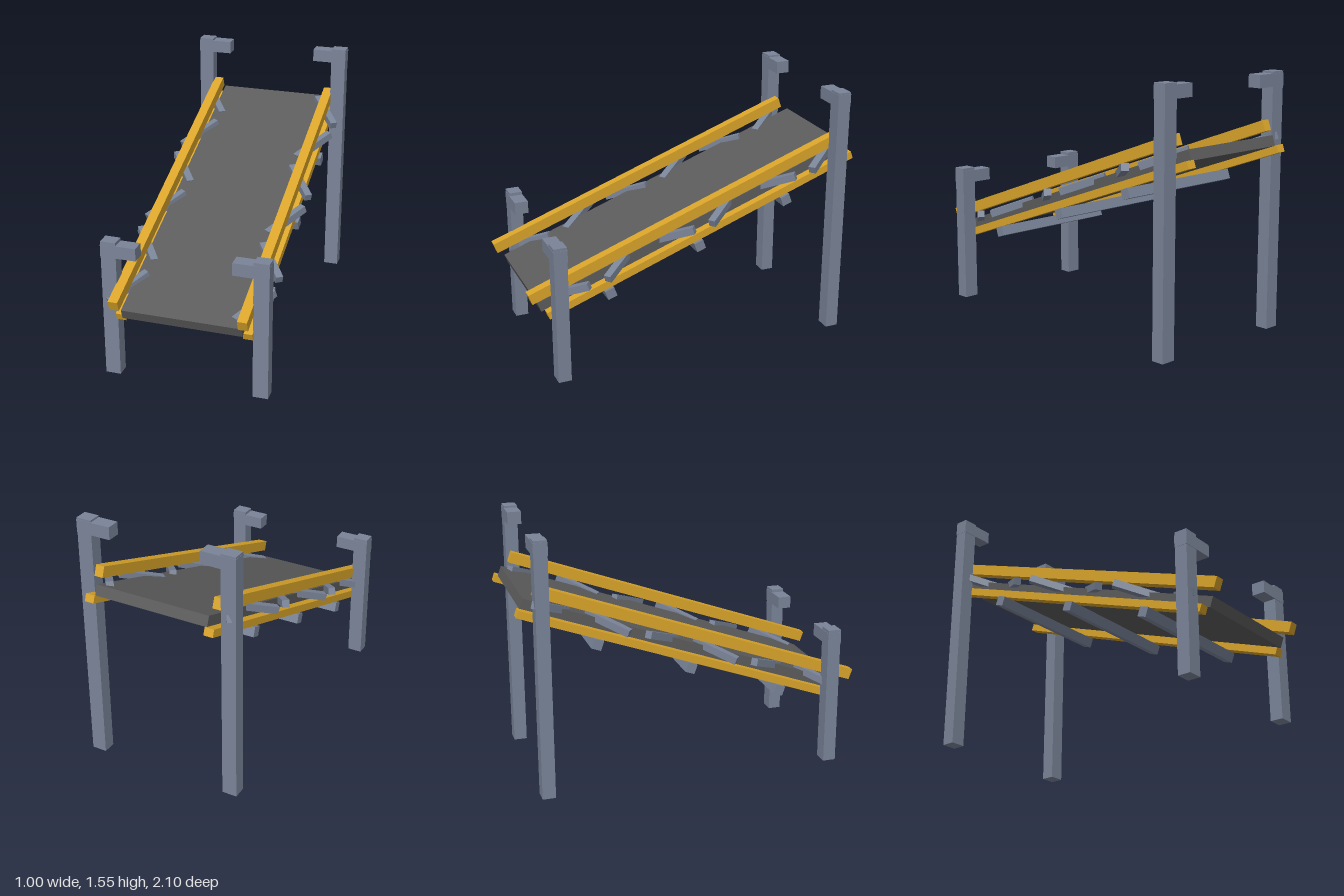
import * as THREE from 'three';

const TILT = THREE.MathUtils.degToRad(20);
const YAW = THREE.MathUtils.degToRad(37);

const material = (color) => new THREE.MeshStandardMaterial({ color });

function box(name, size, position, mat, parent) {
  const mesh = new THREE.Mesh(new THREE.BoxGeometry(...size), mat);
  mesh.name = name;
  mesh.position.set(...position);
  parent.add(mesh);
  return mesh;
}

export function createModel() {
  const model = new THREE.Group();
  model.name = 'inclinedConveyor';
  const steel = material(0x7a8498);
  const yellow = material(0xdaa52a);
  const rubber = material(0x5c5c5c);

  // Sloping deck: belt, side rails and cross bars share one tilted frame
  const deck = new THREE.Group();
  deck.name = 'deck';
  deck.position.y = 0.803;
  deck.rotation.x = TILT;
  model.add(deck);

  box('belt', [0.72, 0.064, 2.106], [0, 0, 0], rubber, deck);
  for (const side of [-1, 1]) {
    box('upperRail', [0.058, 0.066, 2.1], [side * 0.382, 0.099, 0.035], yellow, deck)
      .position.z = 0.036;
    box('lowerRail', [0.058, 0.046, 2.1], [side * 0.382, -0.053, -0.019], yellow, deck);
  }
  for (let i = -1; i <= 1; i++) {
    box('crossBar', [0.86, 0.06, 0.06], [0, -0.106, 0.04 + i * 0.605], steel, deck);
  }

  // Zigzag braces between the rails, tilted with the deck and then yawed
  for (const side of [-1, 1]) {
    for (let i = 0; i < 6; i++) {
      const z = (i - 2.5) * 0.33;
      const y = 0.831 - z * Math.tan(TILT);
      const brace = box('brace', [0.044, 0.044, 0.29], [side * 0.385, y, z], steel, model);
      brace.rotation.set(TILT, i % 2 ? -YAW : YAW, 0, 'YXZ');
    }
  }

  // Corner posts, each with a short arm reaching inward
  for (const side of [-1, 1]) {
    for (const [z, height, armY] of [[0.892, 0.86, 0.803], [-0.895, 1.555, 1.505]]) {
      box('post', [0.092, height, 0.08], [side * 0.453, height / 2, z], steel, model);
      box('arm', [0.215, 0.077, 0.084], [side * 0.393, armY, z], steel, model);
    }
  }
  return model;
}
